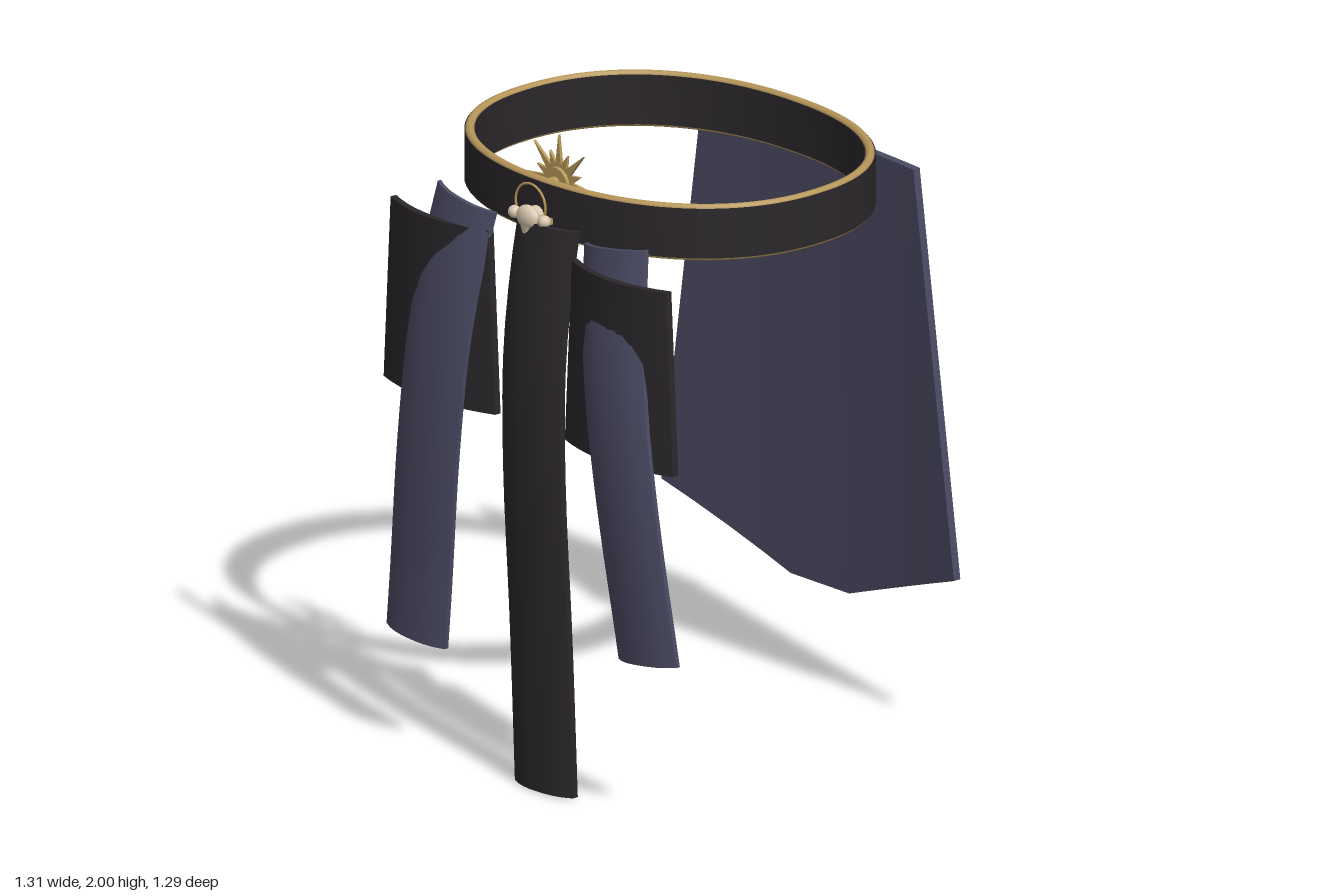
import * as THREE from 'three';
import { toCreasedNormals } from 'three/addons/utils/BufferGeometryUtils.js';

const mat = (color) => new THREE.MeshStandardMaterial({ color });
const lerp = THREE.MathUtils.lerp;

export function createModel() {
  const group = new THREE.Group();
  const black = mat(0x2b272b), blue = mat(0x4a4a63), gold = mat(0xb8985a), bone = mat(0xd8c8b0);

  const add = (name, geometry, material, x = 0, y = 0, z = 0) => {
    const mesh = new THREE.Mesh(geometry, material);
    mesh.name = name;
    mesh.position.set(x, y, z);
    group.add(mesh);
    return mesh;
  };

  // Rounded oval used by the belt and its rims
  const oval = (a, b, n = 72) => Array.from({ length: n }, (_, i) => {
    const t = (i / n) * Math.PI * 2, c = Math.cos(t), s = Math.sin(t), e = 2 / 2.2;
    return new THREE.Vector2(a * Math.sign(c) * Math.abs(c) ** e, b * Math.sign(s) * Math.abs(s) ** e);
  });

  // Belt band
  const ring = new THREE.Shape(oval(0.648, 0.533));
  ring.holes.push(new THREE.Path(oval(0.616, 0.501)));
  const band = new THREE.ExtrudeGeometry(ring, { depth: 0.155, bevelEnabled: false });
  band.rotateX(-Math.PI / 2);
  add('beltBand', toCreasedNormals(band, 0.6), black, 0, 1.717, -0.01);

  // Gold rims
  const rimPath = new THREE.CatmullRomCurve3(
    oval(0.632, 0.517, 48).map((p) => new THREE.Vector3(p.x, 0, p.y)), true);
  const rim = new THREE.TubeGeometry(rimPath, 96, 0.015, 8, true);
  add('upperBeltRim', rim, gold, 0, 1.868, -0.01);
  add('lowerBeltRim', rim, gold, 0, 1.721, -0.01);

  // Bent cloth slab: at(u, v) gives the front surface, u in -1..1, v from 0 (bottom) to 1 (top)
  const cloth = (name, material, nu, nv, thick, at) => {
    const geo = new THREE.BoxGeometry(2, 1, 1, nu, nv, 1);
    const p = geo.attributes.position;
    for (let i = 0; i < p.count; i++) {
      const [x, y, z] = at(p.getX(i), p.getY(i) + 0.5);
      p.setXYZ(i, x, y, p.getZ(i) > 0 ? z : z - thick);
    }
    geo.computeVertexNormals();
    return add(name, geo, material);
  };

  // Back panel, flared with a pointed hem
  cloth('backPanel', blue, 10, 8, 0.026, (u, v) => {
    const x = u * lerp(0.63, 0.455, v);
    const hem = lerp(0.335, 0.515, Math.max(0, (Math.abs(u) - 0.2) / 0.8));
    const bow = Math.min(1, 1.04 * (1 - u * u));
    return [x, lerp(hem, 1.76, v), -0.57 - lerp(0.05, 0.022, v) * bow];
  });

  // Short side panels in front
  for (const s of [-1, 1]) {
    cloth(s < 0 ? 'rightHipPanel' : 'leftHipPanel', black, 10, 6, 0.022, (u, v) => {
      const inner = lerp(0.15, 0.18, v), outer = lerp(0.63, 0.6, v) - (s > 0 ? 0.015 : 0);
      const x = s * lerp(inner, outer, (s * u + 1) / 2);
      return [x, lerp(1.11, 1.68, v), 0.56 + 0.047 * (1 - u * u)];
    });
  }

  // Outward sweep of the hanging strips by height
  const sweep = new THREE.SplineCurve([
    [0, 0.612], [0.5, 0.625], [0.9, 0.642], [1.2, 0.644], [1.4, 0.632], [1.6, 0.603], [1.77, 0.568],
  ].map(([y, z]) => new THREE.Vector2(y, z))).getPoints(60);
  const sweepZ = (y) => {
    const i = Math.max(1, sweep.findIndex((p) => p.x >= y));
    const a = sweep[i - 1], b = sweep[i];
    return lerp(a.y, b.y, (y - a.x) / (b.x - a.x));
  };

  // Strip between four corners: bottom left, bottom right, top left, top right
  const strip = (name, material, [bl, br, tl, tr], shift, thick) =>
    cloth(name, material, 8, 16, thick, (u, v) => {
      const k = (u + 1) / 2;
      const x = lerp(lerp(bl[0], br[0], k), lerp(tl[0], tr[0], k), v);
      const y = lerp(lerp(bl[1], br[1], k), lerp(tl[1], tr[1], k), v);
      return [x, y, sweepZ(Math.min(y, 1.768)) + shift - 0.03 * Math.abs(u) ** 2.6];
    });
  strip('centreStrip', black, [[-0.042, 0], [0.208, 0.004], [-0.072, 1.755], [0.175, 1.76]], 0, 0.02);
  strip('rightStrip', blue, [[-0.585, 0.355], [-0.335, 0.335], [-0.42, 1.77], [-0.17, 1.735]], 0, 0.014);
  strip('leftStrip', blue, [[0.41, 0.495], [0.66, 0.53], [0.21, 1.735], [0.465, 1.775]], -0.008, 0.014);

  // Sunburst inside the front of the belt
  const star = new THREE.Shape(Array.from({ length: 32 }, (_, i) => {
    const t = Math.PI / 2 + (i / 32) * Math.PI * 2;
    const r = i % 2 ? 0.06 : i % 4 ? 0.1 : 0.15;
    return new THREE.Vector2(r * Math.cos(t), r * Math.sin(t));
  }));
  const sx = -0.008, sy = 1.845;
  add('sunRays', new THREE.ExtrudeGeometry(star, { depth: 0.01, bevelEnabled: false }), gold, sx, sy, 0.428);
  const hub = (name, r, depth, z) =>
    add(name, new THREE.CylinderGeometry(r, r, depth, 24).rotateX(Math.PI / 2), gold, sx, sy, z);
  hub('sunDisc', 0.05, 0.026, 0.437);
  hub('sunBoss', 0.022, 0.05, 0.45);
  add('sunRing', new THREE.TorusGeometry(0.05, 0.006, 8, 32), gold, sx, sy, 0.426);

  // Clasp on the front: hoop, bar, carved centre and knobs
  add('claspHoop', new THREE.TorusGeometry(0.064, 0.004, 6, 40), gold, sx, 1.805, 0.55);
  add('claspBar', new THREE.BoxGeometry(0.15, 0.018, 0.03), gold, sx, 1.765, 0.545);
  add('claspPin', new THREE.CylinderGeometry(0.03, 0.03, 0.05, 16).rotateX(Math.PI / 2), bone, sx, 1.765, 0.545);
  add('claspHead', new THREE.SphereGeometry(0.044, 20, 14).scale(1, 0.85, 0.55), bone, sx, 1.767, 0.56);
  add('claspTip', new THREE.CylinderGeometry(0.032, 0.018, 0.045, 12).scale(1, 1, 0.6), bone, sx, 1.733, 0.562);
  for (const s of [-1, 1]) {
    add('claspKnob', new THREE.SphereGeometry(0.02, 14, 10), bone, sx + s * 0.064, 1.767, 0.555);
  }
  return group;
}
